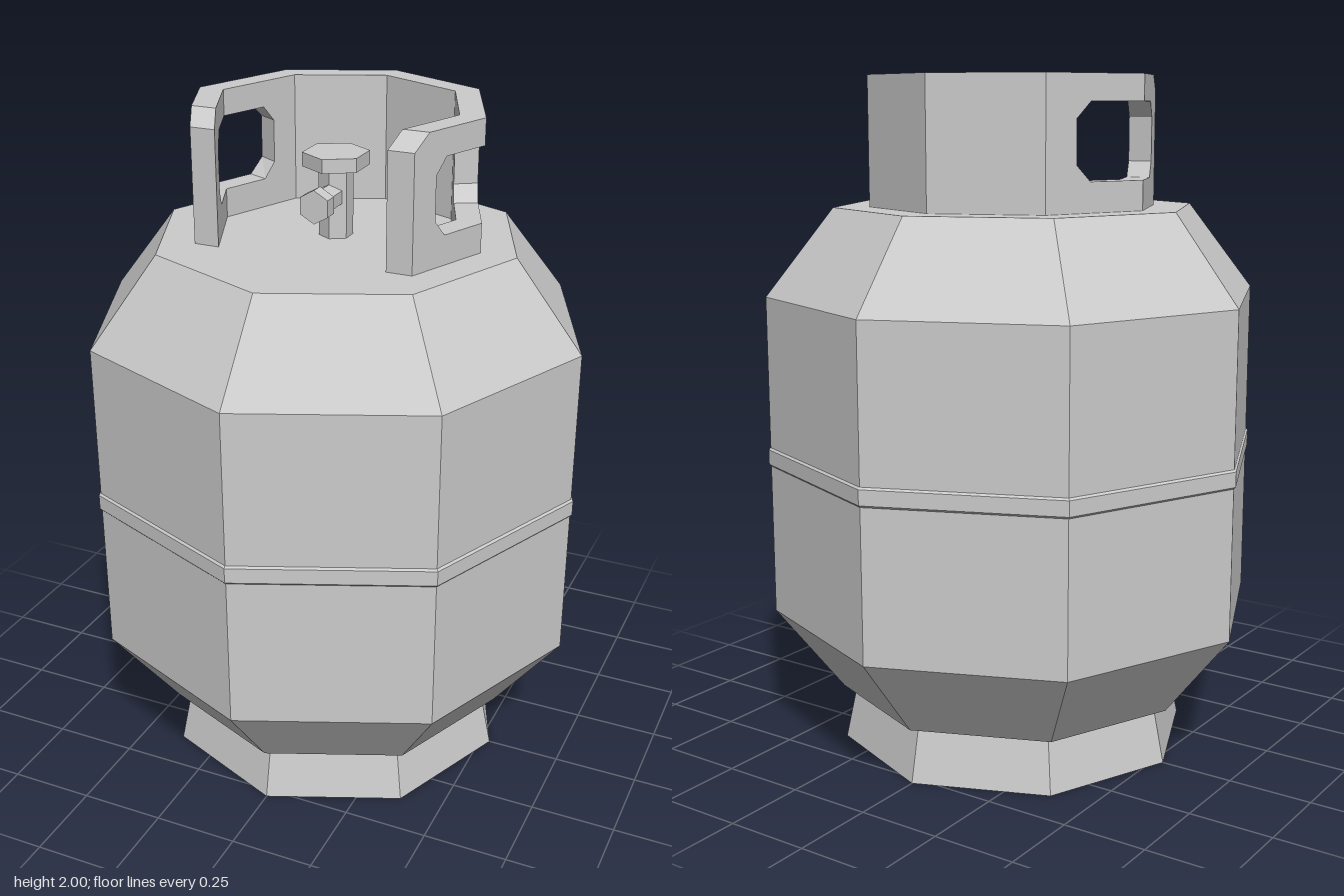
import * as THREE from 'three';
import { mergeGeometries } from 'three/addons/utils/BufferGeometryUtils.js';

const material = new THREE.MeshStandardMaterial({ color: 0xcccccc, flatShading: true });

function addMesh(parent, name, geometry) {
  const mesh = new THREE.Mesh(geometry, material);
  mesh.name = name;
  parent.add(mesh);
  return mesh;
}

// Eight-sided turned part, with corners on the x and z axes
const turned = (profile) =>
  new THREE.LatheGeometry(profile.map(([r, y]) => new THREE.Vector2(r, y)), 8);

// Six-sided bar with a corner towards +z
const hexBar = (radius, height) => new THREE.CylinderGeometry(radius, radius, height, 6);

// Bend an outline (u along the wall, y up) into one wall panel of the collar.
// from / to hold [outer, inner] corners as [x, z]; seams lists the open joints.
function wallPanel(outline, from, to, seams, side, flip) {
  const shape = new THREE.Shape(outline.map(([u, y]) => new THREE.Vector2(u, y)));
  const flat = new THREE.ExtrudeGeometry(shape, { depth: 1, bevelEnabled: false });
  const src = flat.attributes.position;
  const lerp = THREE.MathUtils.lerp;
  const out = [];
  for (let i = 0; i < src.count; i += 3) {
    const us = [0, 1, 2].map((k) => src.getX(i + k));
    // Leave out the hidden caps where panels meet
    if (seams.some((s) => us.every((u) => Math.abs(u - s) < 1e-5))) continue;
    for (const k of flip !== side < 0 ? [0, 2, 1] : [0, 1, 2]) {
      const u = us[k], t = src.getZ(i + k);
      const at = (axis) => lerp(
        lerp(from[1][axis], to[1][axis], u),
        lerp(from[0][axis], to[0][axis], u), t);
      out.push(side * at(0), src.getY(i + k), at(1));
    }
  }
  const geometry = new THREE.BufferGeometry();
  geometry.setAttribute('position', new THREE.Float32BufferAttribute(out, 3));
  geometry.computeVertexNormals();
  return geometry;
}

function collarGeometry() {
  const y0 = 1.625, y1 = 2, holeLow = 1.71, holeHigh = 1.925, cut = 0.045;
  const hole = [
    [0, holeLow], [0.55, holeLow], [0.69, holeLow + cut],
    [0.69, holeHigh - cut], [0.55, holeHigh], [0, holeHigh],
  ].reverse();
  const frontOutline = [[0, y0], [1, y0], [1, y1 - cut], [0.8, y1], [0, y1], ...hole];
  const backOutline = [[0, y0], [1, y0], [1, y1], [0, y1], ...hole];
  const rearOutline = [[0, y0], [1, y0], [1, y1], [0, y1]];

  // Collar corners as [outer, inner]
  const sideCorner = [[0.43, 0], [0.355, 0]];
  const frontEnd = [[0.326, 0.25], [0.251, 0.25]];
  const backCorner = [[0.304, -0.304], [0.251, -0.251]];
  const rearCorner = [[0, -0.43], [0, -0.355]];

  const panels = [];
  for (const side of [1, -1]) {
    panels.push(
      wallPanel(frontOutline, sideCorner, frontEnd, [0], side, true),
      wallPanel(backOutline, sideCorner, backCorner, [0, 1], side, false),
      wallPanel(rearOutline, backCorner, rearCorner, [0, 1], side, false));
  }
  return mergeGeometries(panels);
}

export function createModel() {
  const model = new THREE.Group();
  model.name = 'gasCylinder';

  // Tank with sloped shoulders
  addMesh(model, 'tank', turned([
    [0, 0.165], [0.535, 0.165], [0.735, 0.42], [0.735, 1.37], [0.535, 1.625], [0, 1.625],
  ]));

  // Weld seam round the middle
  addMesh(model, 'weldBand', turned([
    [0.733, 0.865], [0.741, 0.873], [0.741, 0.917], [0.733, 0.925],
  ]));

  // Hollow flared foot
  addMesh(model, 'footRing', turned([
    [0.49, 0], [0.53, 0], [0.495, 0.165], [0.455, 0.165], [0.49, 0],
  ]));

  // Guard collar with two hand holes, open at the front
  addMesh(model, 'collar', collarGeometry());

  // Valve with handwheel and outlet
  const valve = new THREE.Group();
  valve.name = 'valve';
  valve.position.z = 0.012;
  model.add(valve);
  addMesh(valve, 'valveStem', hexBar(0.049, 0.21)).position.y = 1.725;
  addMesh(valve, 'handwheel', hexBar(0.095, 0.04)).position.y = 1.845;
  addMesh(valve, 'outletPipe', hexBar(0.037, 0.09).rotateX(Math.PI / 2)).position.set(0, 1.745, 0.07);
  addMesh(valve, 'outletNut', hexBar(0.048, 0.042).rotateX(Math.PI / 2)).position.set(0, 1.745, 0.128);

  return model;
}
